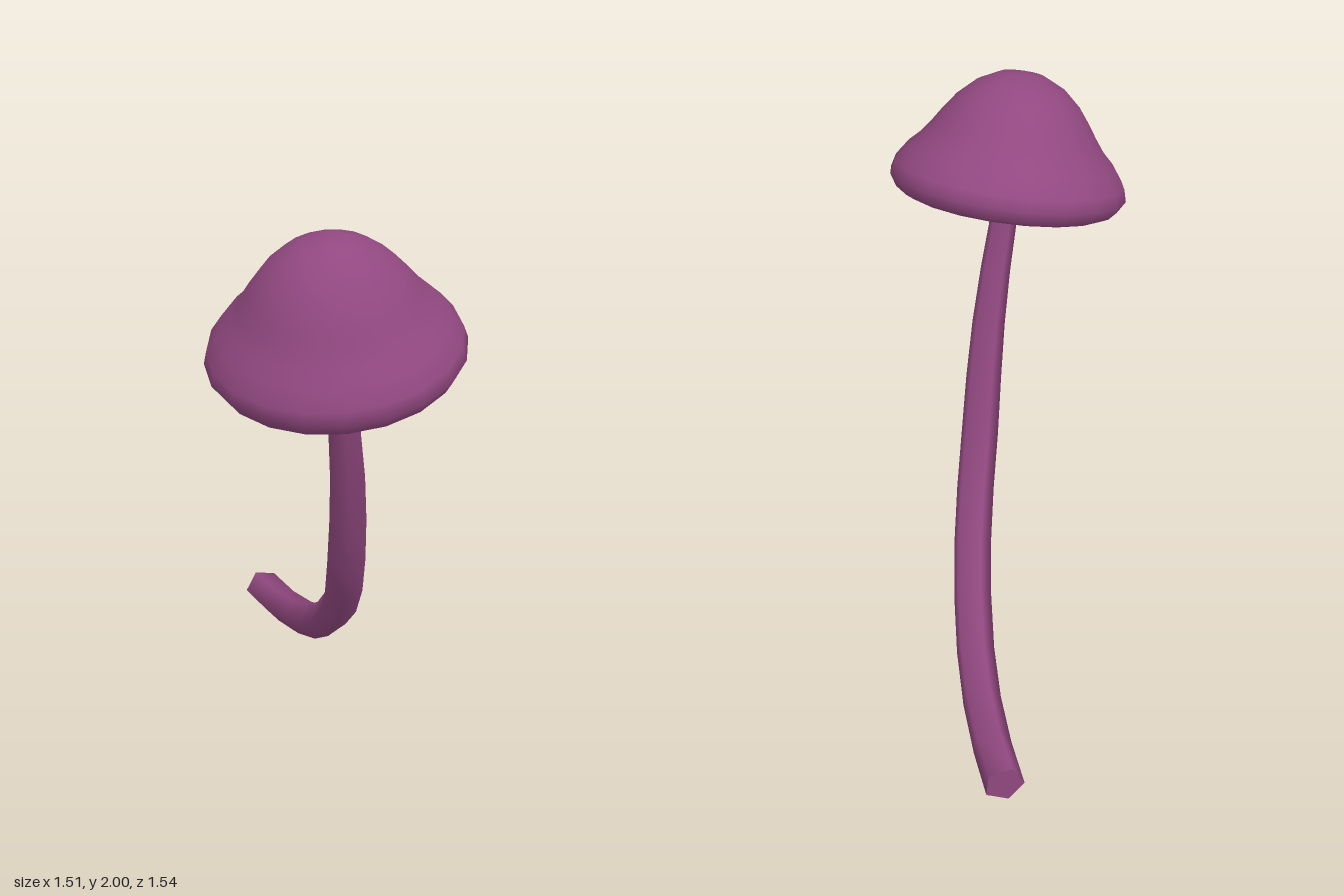
import * as THREE from 'three';

const plum = new THREE.MeshStandardMaterial({ color: 0x914880 });
plum.name = 'plum';

// Five-sided stalk swept along a curve, thinning towards the top, closed at the foot
function stalkGeometry(curve, segments, sides, r0, r1) {
  const pos = [], index = [];
  const reference = new THREE.Vector3(-0.57, -0.1, 0.82);
  const ring = (t) => {
    const c = curve.getPointAt(t), T = curve.getTangentAt(t);
    const s = reference.clone().addScaledVector(T, -reference.dot(T)).normalize();
    const b = new THREE.Vector3().crossVectors(T, s);
    const r = THREE.MathUtils.lerp(r0, r1, THREE.MathUtils.smoothstep(t, 0.5, 1));
    for (let j = 0; j < sides; j++) {
      const a = (j / sides) * Math.PI * 2;
      const p = c.clone().addScaledVector(s, r * Math.cos(a)).addScaledVector(b, r * Math.sin(a));
      pos.push(p.x, p.y, p.z);
    }
  };
  for (let i = 0; i <= segments; i++) ring(i / segments);
  for (let i = 0; i < segments; i++) {
    for (let j = 0; j < sides; j++) {
      const k = (j + 1) % sides;
      const a = i * sides + j, b = i * sides + k;
      index.push(a, b, a + sides, b, b + sides, a + sides);
    }
  }
  // Foot face with its own vertices so its edge stays sharp
  const base = pos.length / 3;
  ring(0);
  for (let j = 1; j < sides - 1; j++) index.push(base, base + j + 1, base + j);
  const g = new THREE.BufferGeometry();
  g.setAttribute('position', new THREE.Float32BufferAttribute(pos, 3));
  g.setIndex(index);
  g.computeVertexNormals();
  return g;
}

// Hollow bell-shaped cap: inside from its top down, round the rim, up the outside
function capGeometry() {
  const profile = [
    [0, 0.32], [0.13, 0.275], [0.23, 0.18], [0.3, 0.08], [0.35, -0.02],
    [0.375, -0.065], [0.405, -0.05], [0.432, -0.005], [0.42, 0.04], [0.378, 0.1],
    [0.337, 0.14], [0.3, 0.19], [0.27, 0.235], [0.225, 0.295], [0.16, 0.355],
    [0.08, 0.395], [0, 0.405],
  ].map(([r, h]) => new THREE.Vector2(r, h));
  return new THREE.LatheGeometry(profile, 20);
}

export function createModel() {
  const model = new THREE.Group();
  model.name = 'mushroom';

  const path = new THREE.CatmullRomCurve3([
    [-0.715, 0.068, -0.722], [-0.52, 0.075, -0.595], [-0.31, 0.135, -0.445],
    [-0.14, 0.235, -0.3], [0.0, 0.37, -0.165], [0.105, 0.53, -0.045],
    [0.175, 0.7, 0.05], [0.24, 0.95, 0.145], [0.285, 1.2, 0.23],
    [0.315, 1.5, 0.33], [0.34, 1.88, 0.43],
  ].map((p) => new THREE.Vector3(...p)));
  const stalk = new THREE.Mesh(stalkGeometry(path, 13, 5, 0.072, 0.045), plum);
  stalk.name = 'stalk';
  model.add(stalk);

  const cap = new THREE.Mesh(capGeometry(), plum);
  cap.name = 'cap';
  cap.position.set(0.322, 1.6, 0.355);
  cap.quaternion.setFromUnitVectors(
    new THREE.Vector3(0, 1, 0),
    new THREE.Vector3(0.08, 1, 0.275).normalize(),
  );
  model.add(cap);

  return model;
}
